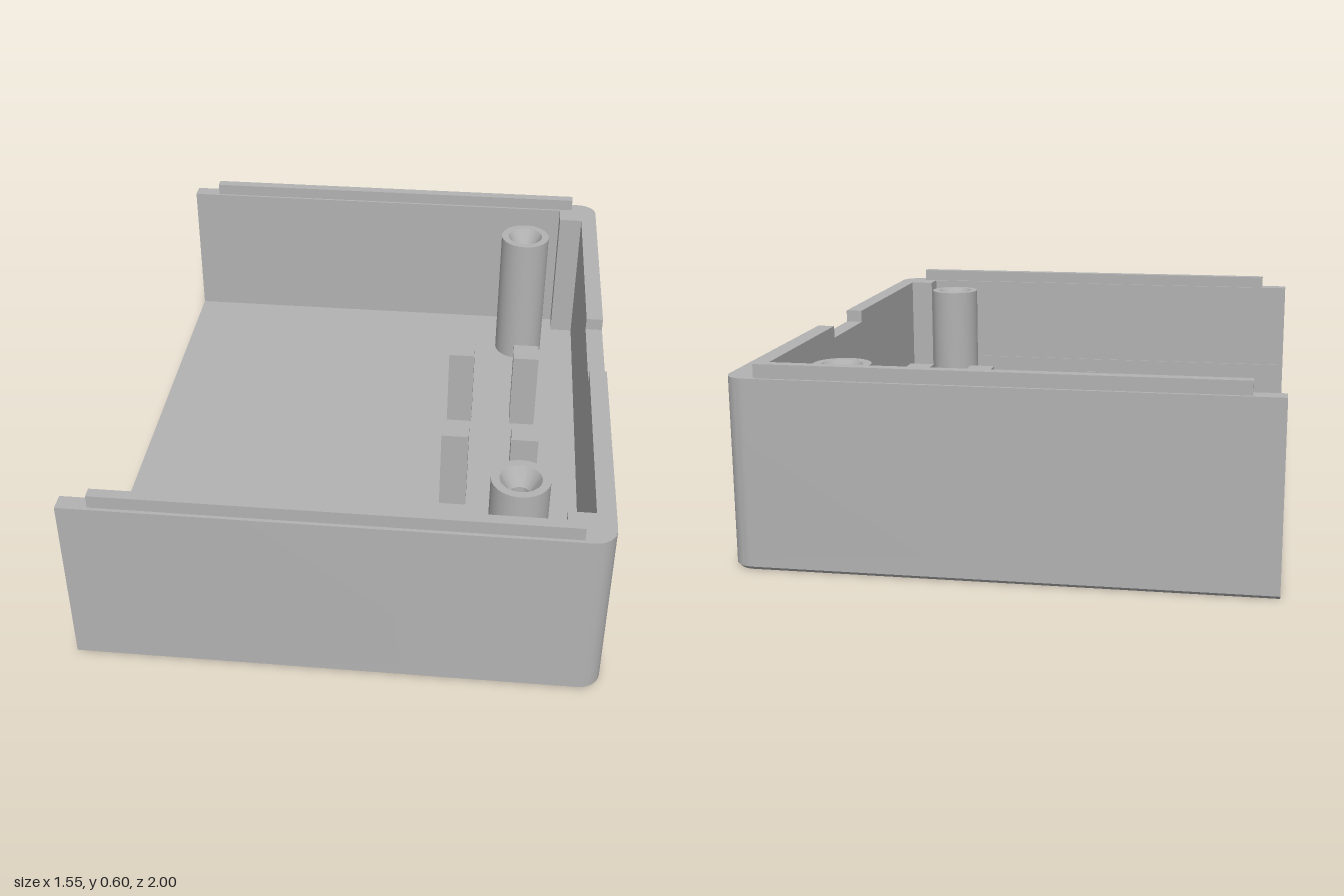
import * as THREE from 'three';
import { toCreasedNormals, mergeGeometries } from 'three/addons/utils/BufferGeometryUtils.js';

const XMIN = -0.78, XMAX = 0.775, ZMAX = 1, CORNER = 0.065;
const FLOOR = 0.07, RIM = 0.56, NOTCH = 0.52, BEVEL = 0.01, SEG = 10;
const HOLE = { x: -0.635, z: 0.485, r: 0.04, sink: 0.075 };

// Points of the rounded corner on the +y side of a plan outline
function cornerArc(inset) {
  const r = CORNER - inset, pts = [];
  for (let i = 0; i <= SEG; i++) {
    const a = (i / SEG) * Math.PI / 2;
    pts.push(new THREE.Vector2(XMAX - CORNER + r * Math.cos(a), ZMAX - CORNER + r * Math.sin(a)));
  }
  return pts;
}

// Floor outline: square at the open end, rounded at the closed end
function outline(inset) {
  const half = [...cornerArc(inset), new THREE.Vector2(XMIN, ZMAX - inset)];
  const mirrored = half.map((p) => new THREE.Vector2(p.x, -p.y)).reverse();
  return [...mirrored, ...half];
}

export function createModel() {
  const model = new THREE.Group();
  const grey = new THREE.MeshStandardMaterial({ color: 0xb2b2b2 });
  grey.name = 'grey plastic';

  const add = (name, geometry) => {
    const mesh = new THREE.Mesh(geometry, grey);
    mesh.name = name;
    model.add(mesh);
    return mesh;
  };
  const box = (name, x0, x1, y0, y1, z0, z1) => {
    const g = new THREE.BoxGeometry(x1 - x0, y1 - y0, z1 - z0);
    g.translate((x0 + x1) / 2, (y0 + y1) / 2, (z0 + z1) / 2);
    add(name, g);
  };
  const lathe = (name, profile, x, z) => {
    const g = new THREE.LatheGeometry(profile.map(([r, y]) => new THREE.Vector2(r, y)), 40);
    add(name, toCreasedNormals(g, 0.5)).position.set(x, 0, z);
  };

  // Floor edge: beveled bottom and upright side, lofted between outlines
  const rings = [[BEVEL, 0], [0, BEVEL], [0, FLOOR]].map(([inset, y]) =>
    outline(inset).map((p) => [p.x, y, -p.y]));
  const pos = [];
  for (let k = 0; k < rings.length - 1; k++) {
    const a = rings[k], b = rings[k + 1];
    for (let i = 0; i < a.length; i++) {
      const j = (i + 1) % a.length;
      pos.push(...a[i], ...a[j], ...b[j], ...a[i], ...b[j], ...b[i]);
    }
  }
  const edge = new THREE.BufferGeometry();
  edge.setAttribute('position', new THREE.Float32BufferAttribute(pos, 3));
  add('floorEdge', toCreasedNormals(edge, 0.5));

  // Floor faces with the screw hole
  const face = (inset, r, up) => {
    const s = new THREE.Shape(outline(inset));
    const h = new THREE.Path();
    h.absarc(HOLE.x, up ? -HOLE.z : HOLE.z, r, 0, Math.PI * 2, true);
    s.holes.push(h);
    const g = new THREE.ShapeGeometry(s, 20);
    g.rotateX(up ? -Math.PI / 2 : Math.PI / 2);
    g.translate(0, up ? FLOOR : 0, 0);
    return g;
  };
  add('floor', mergeGeometries([face(0, HOLE.r, true), face(BEVEL, HOLE.sink, false)]));
  lathe('countersunkHole', [[HOLE.r, FLOOR], [HOLE.r, 0.035], [HOLE.sink, 0]], HOLE.x, HOLE.z);

  // L-shaped wall plan: long side, rounded corner, part of the end, inner corner block
  const wallPlan = [
    ...cornerArc(0),
    ...[[XMIN, ZMAX], [XMIN, 0.947], [0.64, 0.947], [0.64, 0.87], [0.72, 0.87], [0.72, 0.157], [XMAX, 0.157]]
      .map(([x, y]) => new THREE.Vector2(x, y)),
  ];

  for (const side of [1, -1]) {
    const plan = new THREE.Shape(wallPlan.map((p) => new THREE.Vector2(p.x, -side * p.y)));
    const g = new THREE.ExtrudeGeometry(plan, { depth: RIM - FLOOR, bevelEnabled: false });
    g.rotateX(-Math.PI / 2);
    g.translate(0, FLOOR, 0);
    add(side > 0 ? 'frontWall' : 'backWall', toCreasedNormals(g, 0.5));

    // Locating ridge on the rim
    const z = side * 0.972;
    box('rimRidge', -0.69, 0.685, RIM, 0.6, z - 0.017, z + 0.017);

    // Screw boss with countersunk blind bore
    lathe('screwBoss', [[0.087, FLOOR], [0.087, 0.555], [0.062, 0.555], [0.03, 0.5], [0.03, 0.2], [0, 0.2]],
      0.51, side > 0 ? 0.73 : -0.735);
  }

  // Lowered middle of the end wall
  box('notchedEndWall', 0.72, XMAX, FLOOR, NOTCH, -0.157, 0.157);

  // Square support posts
  for (const x of [0.305, 0.53]) {
    for (const z of [-0.255, 0.225]) {
      box('supportPost', x - 0.044, x + 0.044, FLOOR, 0.35, z - 0.044, z + 0.044);
    }
  }

  // Thin strip with a small catch on the inside of the front wall
  box('innerStrip', -0.77, 0.72, 0.145, 0.25, 0.942, 0.948);
  box('innerCatch', -0.035, 0.035, 0.18, 0.2, 0.936, 0.943);

  return model;
}
